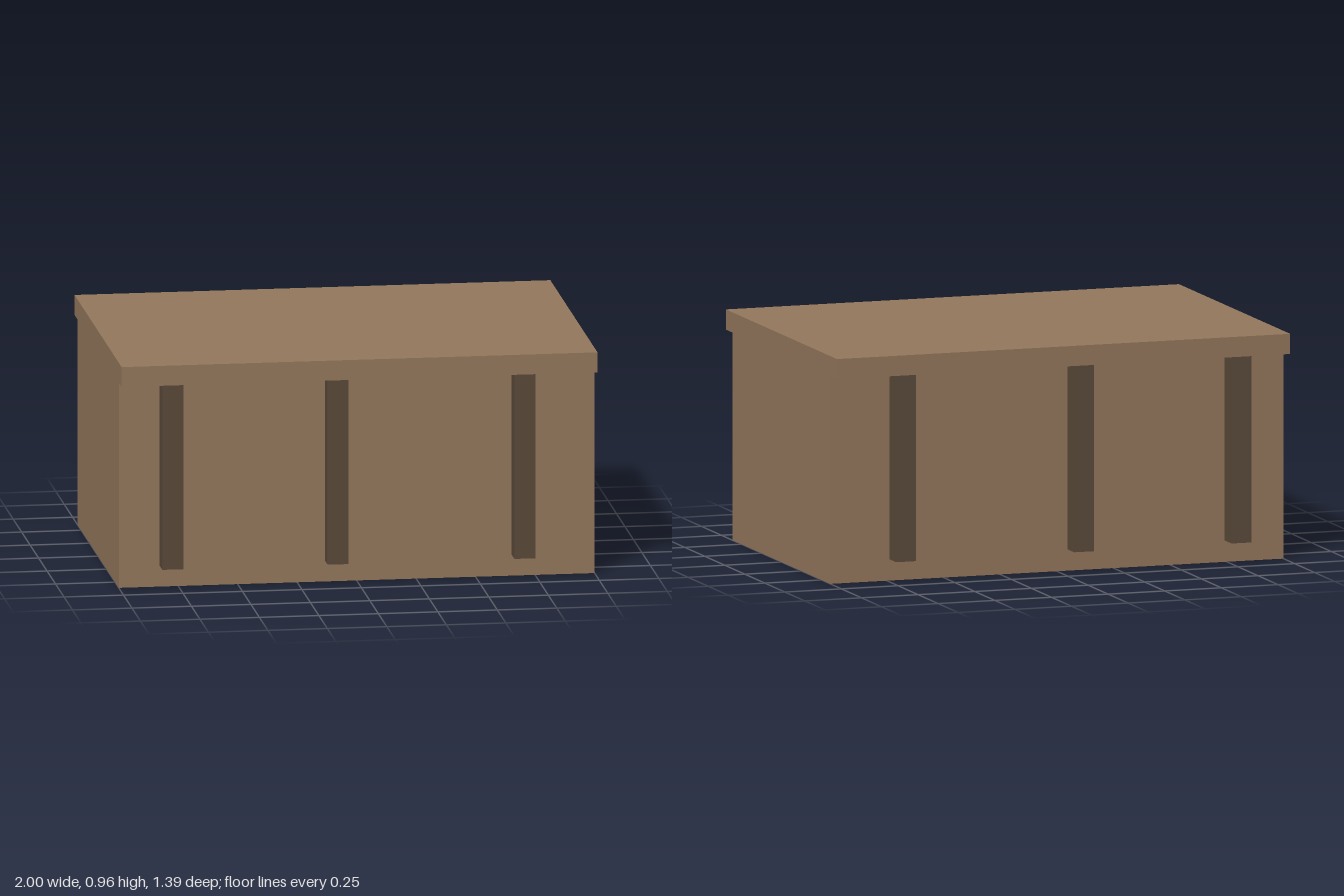
import * as THREE from 'three';

export function createModel() {
  const group = new THREE.Group();
  const wood = new THREE.MeshStandardMaterial({ color: 0x94775c });
  wood.name = 'light wood';
  const darkWood = new THREE.MeshStandardMaterial({ color: 0x5a4a3a });
  darkWood.name = 'dark wood';

  // Box spanning y0..y1, centred on x and z
  function addBox(name, material, width, depth, y0, y1, x = 0, z = 0) {
    const mesh = new THREE.Mesh(new THREE.BoxGeometry(width, y1 - y0, depth), material);
    mesh.name = name;
    mesh.position.set(x, (y0 + y1) / 2, z);
    group.add(mesh);
  }

  // Solid body with a lid overhanging front and back
  const bodyHalf = 0.61, lidHalf = 0.695, lidBottom = 0.875;
  addBox('body', wood, 2, bodyHalf * 2, 0, lidBottom);
  addBox('lid', wood, 2, lidHalf * 2, lidBottom, 0.96);

  // Three posts under each overhang
  const postDepth = lidHalf - bodyHalf;
  for (const side of [1, -1]) {
    for (const x of [-0.785, -0.09, 0.695]) {
      addBox(side > 0 ? 'frontPost' : 'backPost', darkWood, 0.088, postDepth,
        0.09, lidBottom, x, side * (bodyHalf + postDepth / 2));
    }
  }
  return group;
}
